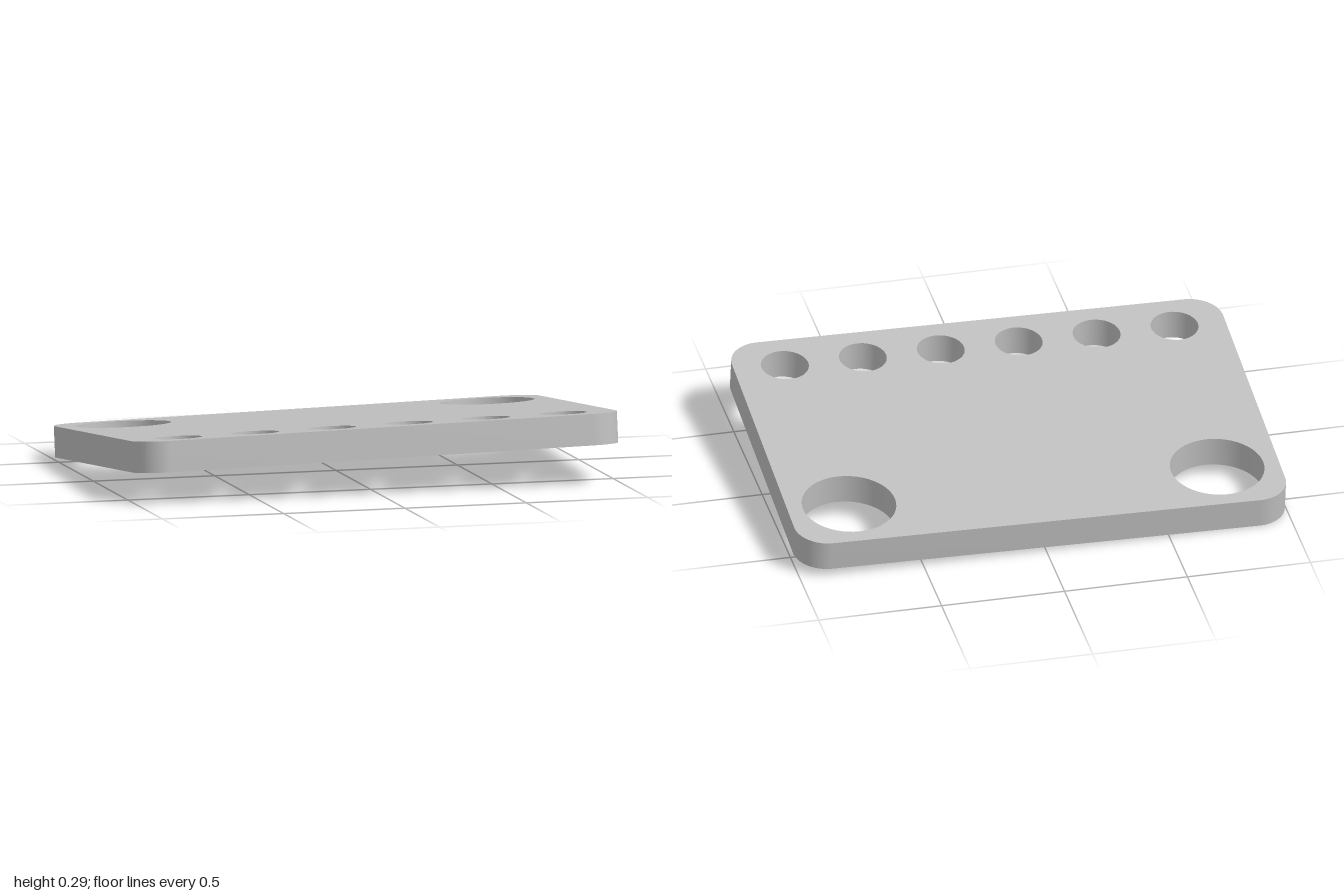
import * as THREE from 'three';
import { toCreasedNormals } from 'three/addons/utils/BufferGeometryUtils.js';

const WIDTH = 1.998, DEPTH = 1.373, THICKNESS = 0.125, CORNER = 0.13;

// Rectangle with rounded corners, centred on the origin
function roundedRectangle(w, d, r) {
  const shape = new THREE.Shape();
  const x = w / 2 - r, y = d / 2 - r;
  shape.absarc(x, y, r, 0, Math.PI / 2);
  shape.absarc(-x, y, r, Math.PI / 2, Math.PI);
  shape.absarc(-x, -y, r, Math.PI, Math.PI * 1.5);
  shape.absarc(x, -y, r, Math.PI * 1.5, Math.PI * 2);
  shape.closePath();
  return shape;
}

export function createModel() {
  const model = new THREE.Group();
  const grey = new THREE.MeshStandardMaterial({ color: 0xc0c0c0 });
  grey.name = 'plain grey';

  const outline = roundedRectangle(WIDTH, DEPTH, CORNER);
  const addHole = (x, z, r) => {
    const hole = new THREE.Path();
    hole.absarc(x, -z, r, 0, Math.PI * 2, true);
    outline.holes.push(hole);
  };

  // Two large holes in the back corners
  for (const side of [-1, 1]) addHole(side * 0.749, -0.438, 0.188);
  // Row of six small holes along the front
  for (let i = 0; i < 6; i++) addHole((i - 2.5) * 0.317, 0.518, 0.095);

  let geometry = new THREE.ExtrudeGeometry(outline, {
    depth: THICKNESS, bevelEnabled: false, curveSegments: 24,
  });
  geometry.rotateX(-Math.PI / 2);

  // The plate leans: front edge and left side slightly raised
  geometry.rotateX(THREE.MathUtils.degToRad(-5.62));
  geometry.rotateZ(THREE.MathUtils.degToRad(1.08));
  geometry = toCreasedNormals(geometry, 0.6);

  // Centre it and rest it on the ground
  geometry.center();
  geometry.computeBoundingBox();
  geometry.translate(0, -geometry.boundingBox.min.y, 0);

  const plate = new THREE.Mesh(geometry, grey);
  plate.name = 'perforatedPlate';
  model.add(plate);
  return model;
}
